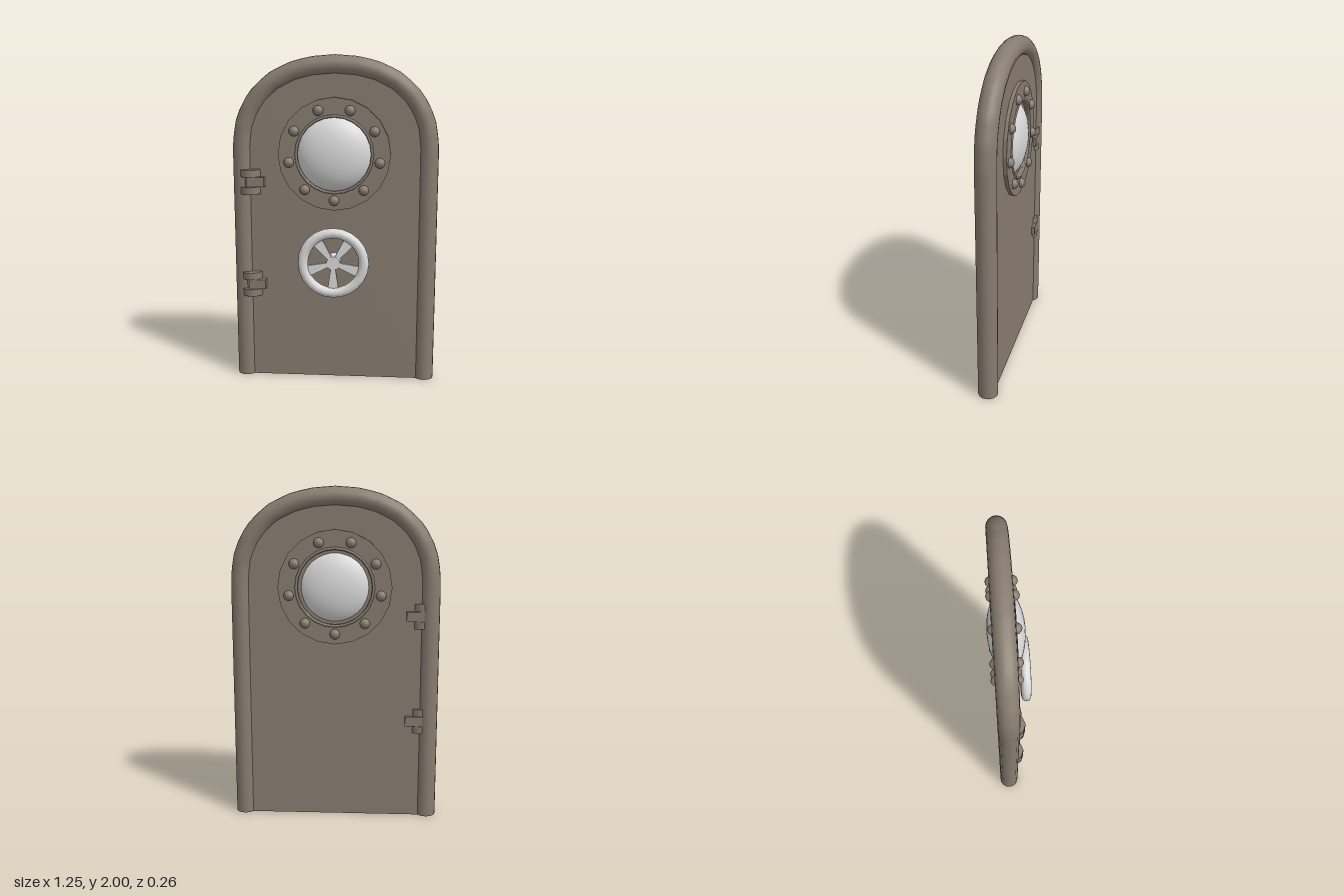
import * as THREE from 'three';

export function createModel() {
  const root = new THREE.Group();
  root.name = 'roundTopDoor';
  const bronze = new THREE.MeshStandardMaterial({ color: 0x877c70 });
  bronze.name = 'bronze';
  const pale = new THREE.MeshStandardMaterial({ color: 0xdadada });
  pale.name = 'paleMetal';

  const add = (name, geometry, material, x = 0, y = 0, z = 0, parent = root) => {
    const mesh = new THREE.Mesh(geometry, material);
    mesh.name = name;
    mesh.position.set(x, y, z);
    parent.add(mesh);
    return mesh;
  };

  // Door outline: straight legs under a squarish arch
  const midZ = -0.04, tubeR = 0.06, halfW = 0.563, springY = 1.45, rise = 0.49;
  const outline = [new THREE.Vector2(halfW, 0)];
  const steps = 14;
  for (let i = 0; i <= steps; i++) {
    const a = (i / steps) * Math.PI, c = Math.cos(a), s = Math.max(0, Math.sin(a));
    outline.push(new THREE.Vector2(
      Math.sign(c) * halfW * Math.abs(c) ** (2 / 2.2),
      springY + rise * s ** (2 / 2.2)));
  }
  outline.push(new THREE.Vector2(-halfW, 0));

  // Tubular frame with closed feet
  const path = new THREE.CurvePath();
  for (let i = 1; i < outline.length; i++) {
    path.add(new THREE.LineCurve3(
      new THREE.Vector3(outline[i - 1].x, outline[i - 1].y, midZ),
      new THREE.Vector3(outline[i].x, outline[i].y, midZ)));
  }
  add('frame', new THREE.TubeGeometry(path, 72, tubeR, 16, false), bronze);
  for (const s of [-1, 1]) {
    add('frameFoot', new THREE.CircleGeometry(tubeR, 16), bronze, s * halfW, 0, midZ).rotation.x = Math.PI / 2;
  }

  // Door panel
  add('panel', new THREE.ExtrudeGeometry(new THREE.Shape(outline),
    { depth: 0.066, bevelEnabled: false }), bronze, 0, 0, -0.073);

  // Porthole: flange, inner lip, glass and rivets on both faces
  const porthole = new THREE.Group();
  porthole.name = 'porthole';
  porthole.position.set(0, 1.415, 0);
  root.add(porthole);
  const flange = new THREE.Shape().absarc(0, 0, 0.338, 0, Math.PI * 2);
  flange.holes.push(new THREE.Path().absarc(0, 0, 0.222, 0, Math.PI * 2, true));
  add('flange', new THREE.ExtrudeGeometry(flange,
    { depth: 0.122, bevelEnabled: false, curveSegments: 10 }), bronze, 0, 0, -0.094, porthole);
  for (const z of [0.026, -0.092]) {
    add('lip', new THREE.TorusGeometry(0.229, 0.009, 8, 24), bronze, 0, 0, z, porthole);
  }
  add('glass', new THREE.SphereGeometry(0.23, 28, 18), pale, 0, 0, -0.02, porthole).scale.z = 0.475;
  const rivet = new THREE.SphereGeometry(0.031, 12, 8);
  for (let i = 0; i < 9; i++) {
    const a = -Math.PI / 2 + (i * Math.PI * 2) / 9;
    for (const z of [0.03, -0.092]) {
      add('rivet', rivet, bronze, 0.277 * Math.cos(a), 0.277 * Math.sin(a), z, porthole);
    }
  }

  // Hand wheel: rim, stem and five spokes widening to the rim
  const wheel = new THREE.Group();
  wheel.name = 'handWheel';
  wheel.position.set(0, 0.767, 0.096);
  root.add(wheel);
  add('rim', new THREE.TorusGeometry(0.185, 0.031, 12, 24), pale, 0, 0, 0, wheel);
  add('stem', new THREE.CylinderGeometry(0.042, 0.042, 0.12, 12), pale, 0, 0, -0.05, wheel).rotation.x = Math.PI / 2;
  const spokeShape = new THREE.Shape([
    new THREE.Vector2(0.02, -0.012), new THREE.Vector2(0.18, -0.036),
    new THREE.Vector2(0.18, 0.036), new THREE.Vector2(0.02, 0.012)]);
  const spoke = new THREE.ExtrudeGeometry(spokeShape, { depth: 0.02, bevelEnabled: false });
  for (let i = 0; i < 5; i++) {
    add('spoke', spoke, pale, 0, 0, -0.012, wheel).rotation.z = -Math.PI / 2 + (i * Math.PI * 2) / 5;
  }

  // Hinges: two outer knuckles with a leaf between them
  for (const y of [1.245, 0.605]) {
    const hinge = new THREE.Group();
    hinge.name = 'hinge';
    hinge.position.set(-0.515, y, -0.02);
    root.add(hinge);
    for (const s of [-1, 1]) {
      add('knuckle', new THREE.CylinderGeometry(0.066, 0.066, 0.044, 10), bronze, 0, s * 0.053, 0, hinge).scale.z = 1.13;
    }
    add('pin', new THREE.CylinderGeometry(0.045, 0.045, 0.1, 10), bronze, 0, 0, 0, hinge);
    add('leaf', new THREE.BoxGeometry(0.105, 0.058, 0.13), bronze, 0.038, 0, -0.008, hinge);
  }
  return root;
}
